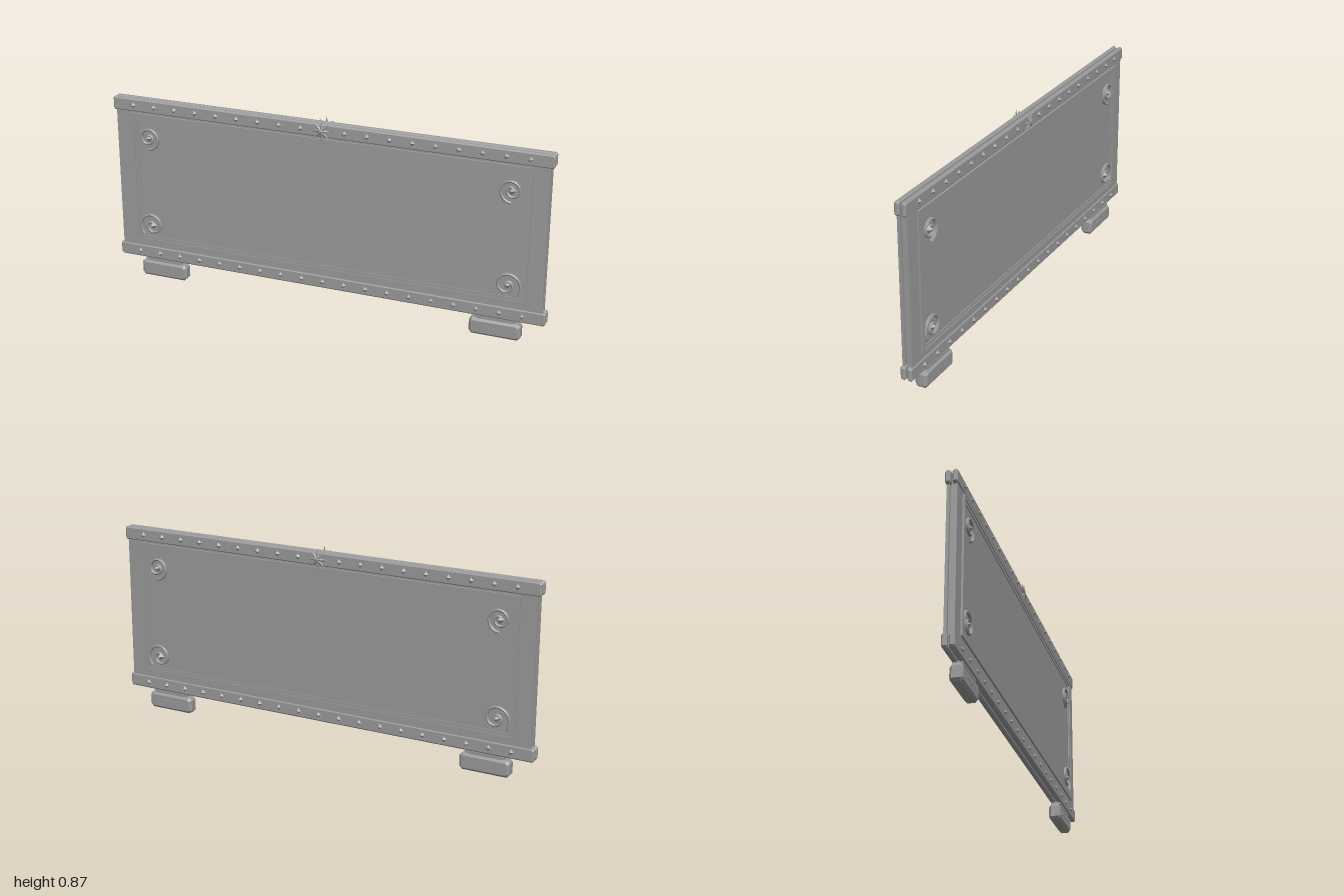
import * as THREE from 'three';

const stone = new THREE.MeshStandardMaterial({ color: 0x999999 });
stone.name = 'grey';
stone.flatShading = true;

function add(parent, name, geometry, x = 0, y = 0, z = 0) {
  const mesh = new THREE.Mesh(geometry, stone);
  mesh.name = name;
  mesh.position.set(x, y, z);
  parent.add(mesh);
  return mesh;
}

// Box with chamfered edges, centred on its origin
function chamferBox(w, h, d, c) {
  const a = w / 2 - c, b = h / 2 - c, k = c * 0.6;
  const s = new THREE.Shape();
  s.moveTo(-a + k, -b);
  [[a - k, -b], [a, -b + k], [a, b - k], [a - k, b], [-a + k, b], [-a, b - k], [-a, -b + k]]
    .forEach(([x, y]) => s.lineTo(x, y));
  s.closePath();
  const g = new THREE.ExtrudeGeometry(s, {
    depth: d - 2 * c, bevelEnabled: true, bevelSize: c, bevelThickness: c, bevelSegments: 1,
  });
  return g.translate(0, 0, -d / 2 + c);
}

function rectPath(P, x, y0, y1) {
  const p = new P();
  p.moveTo(-x, y0);
  p.lineTo(x, y0);
  p.lineTo(x, y1);
  p.lineTo(-x, y1);
  p.closePath();
  return p;
}

// Four-sided pyramid pointing along +z, set as a diamond
function diamond(radius, height) {
  return new THREE.ConeGeometry(radius, height, 4).rotateX(Math.PI / 2).translate(0, 0, height / 2);
}

// Flattened tube winding inwards from radius R at angle a0
function scroll(R, a0, turns) {
  const pts = [];
  for (let i = 0; i <= 28; i++) {
    const t = i / 28, a = a0 + turns * t * Math.PI * 2, r = R + (0.014 - R) * t;
    pts.push(new THREE.Vector3(Math.cos(a) * r, Math.sin(a) * r, 0));
  }
  return new THREE.TubeGeometry(new THREE.CatmullRomCurve3(pts), 48, 0.006, 6, false);
}

// Eight-pointed star with a raised centre
function star(R, r, height) {
  const p = [];
  const at = (i) => {
    const a = (i * Math.PI) / 8, q = i % 2 ? r : R;
    return [Math.sin(a) * q, Math.cos(a) * q, 0];
  };
  for (let i = 0; i < 16; i++) {
    p.push(0, 0, height, ...at(i + 1), ...at(i));
    p.push(0, 0, -0.002, ...at(i), ...at(i + 1));
  }
  const g = new THREE.BufferGeometry();
  g.setAttribute('position', new THREE.Float32BufferAttribute(p, 3));
  g.computeVertexNormals();
  return g;
}

// Everything on one face; the back is the same turned round
function makeFace(name) {
  const face = new THREE.Group();
  face.name = name;
  add(face, 'board', new THREE.BoxGeometry(1.97, 0.7, 0.013), 0, 0.47, 0.0155);

  // Raised moulding: a wide low step and a narrow outer ridge
  [[0.915, 0.172, 0.785, 0.885, 0.2, 0.755, 0.026],
    [0.915, 0.172, 0.785, 0.9, 0.187, 0.77, 0.03]].forEach(([x, y0, y1, ix, iy0, iy1, z]) => {
    const s = rectPath(THREE.Shape, x, y0, y1);
    s.holes.push(rectPath(THREE.Path, ix, iy0, iy1));
    const g = new THREE.ExtrudeGeometry(s, { depth: z - 0.02, bevelEnabled: false });
    add(face, 'moulding', g, 0, 0, 0.02);
  });

  // Rails with their rows of studs
  for (const y of [0.12, 0.82]) {
    add(face, 'rail', chamferBox(2, 0.06, 0.022, 0.006), 0, y, 0.015);
    for (let i = -9; i <= 9; i++) {
      if (i === 0 && y > 0.5) continue;
      add(face, 'stud', diamond(0.014, 0.011), i * 0.1, y, 0.0255);
    }
  }
  add(face, 'star', star(0.047, 0.019, 0.008), 0, 0.82, 0.03);

  // Corner scrolls with a boss at the centre
  for (const side of [-1, 1]) {
    for (const [y, R, a0, turns] of [[0.675, 0.053, -Math.PI / 2, 1.5], [0.255, 0.062, Math.PI * 1.25, -1.4]]) {
      // Left-hand winding, with the angle mirrored for the other side
      const a = side < 0 ? a0 : Math.PI - a0;
      const m = add(face, 'scroll', scroll(R, a, side < 0 ? turns : -turns), side * 0.83, y, 0.025);
      m.scale.z = 1.3;
      add(face, 'boss', diamond(0.02, 0.019), side * 0.83, y, 0.0215);
    }
  }
  return face;
}

export function createModel() {
  const model = new THREE.Group();
  model.name = 'panel';

  // Core showing in the groove between the two faces
  add(model, 'core', new THREE.BoxGeometry(1.945, 0.735, 0.02), 0, 0.47, 0);

  model.add(makeFace('frontFace'));
  const back = makeFace('backFace');
  back.rotation.y = Math.PI;
  model.add(back);

  // Feet
  for (const side of [-1, 1]) {
    const foot = new THREE.Group();
    foot.name = 'foot';
    foot.position.x = side * 0.783;
    add(foot, 'footBlock', chamferBox(0.225, 0.076, 0.054, 0.011), 0, 0.038, 0);
    add(foot, 'footNeck', new THREE.BoxGeometry(0.15, 0.03, 0.036), 0, 0.083, 0);
    add(foot, 'footCollar', new THREE.BoxGeometry(0.175, 0.01, 0.042), 0, 0.083, 0);
    for (const z of [-1, 1]) {
      add(foot, 'footRidge', new THREE.BoxGeometry(0.12, 0.01, 0.004), 0, 0.04, z * 0.0265);
    }
    model.add(foot);
  }
  return model;
}
